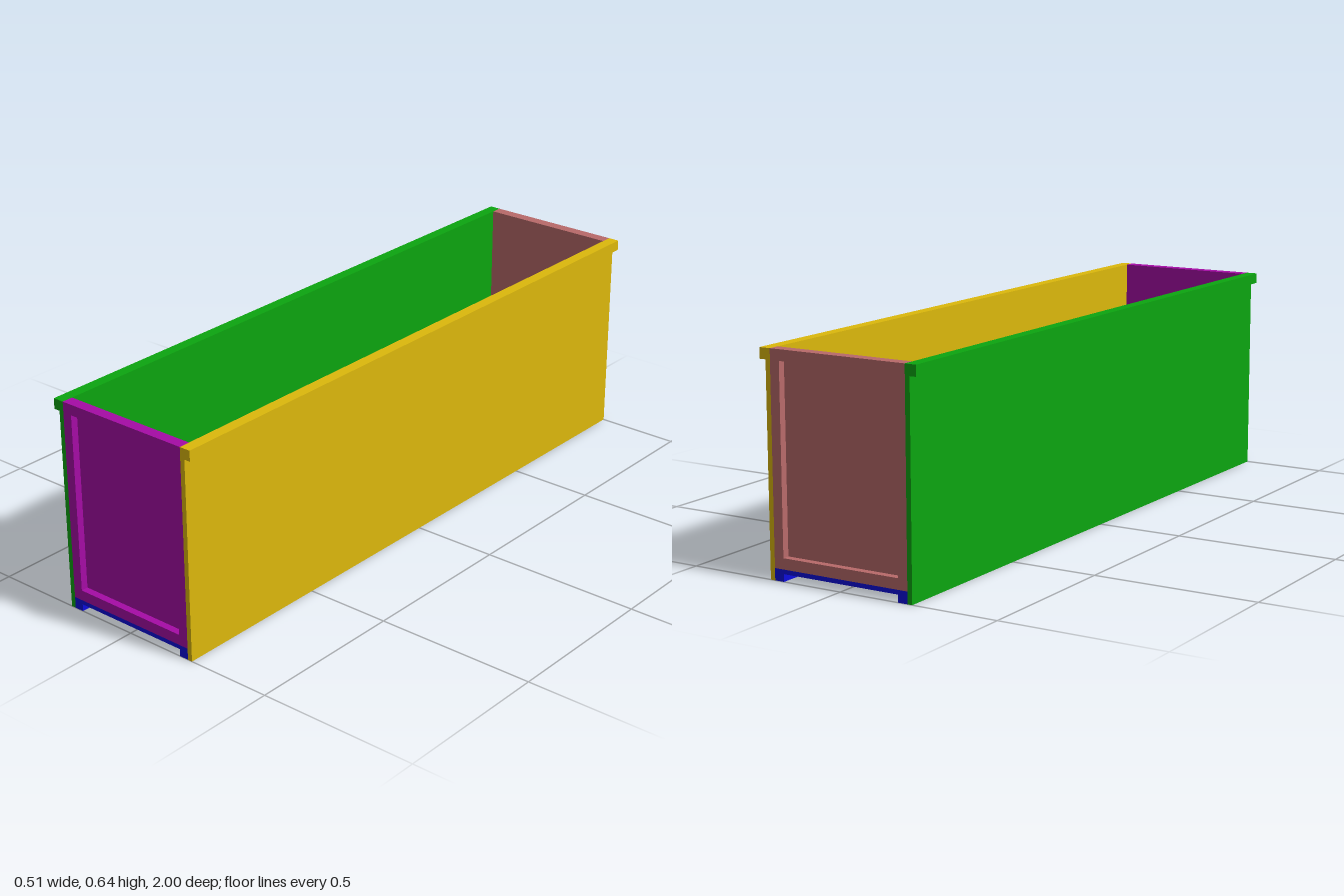
import * as THREE from 'three';

const W = 0.22;        // inner half width
const H = 0.645;       // overall height
const FLOOR = 0.035;   // top of the floor
const RIM = 0.03;      // frame width round the end panels
const RECESS = 0.022;  // depth of the end recess and of the floor channel

function outline(points) {
  return new THREE.Shape(points.map(([x, y]) => new THREE.Vector2(x, y)));
}

function rectangle(x, y0, y1) {
  return outline([[-x, y0], [x, y0], [x, y1], [-x, y1]]);
}

// Extrude a shape from z0 to z1
function slab(shape, z0, z1) {
  const g = new THREE.ExtrudeGeometry(shape, { depth: z1 - z0, bevelEnabled: false });
  return g.translate(0, 0, z0);
}

function part(name, geometry, material) {
  const mesh = new THREE.Mesh(geometry, material);
  mesh.name = name;
  return mesh;
}

function paint(color) {
  return new THREE.MeshStandardMaterial({ color });
}

export function createModel() {
  const model = new THREE.Group();
  model.name = 'trough';

  // Side walls with an outward lip along the top
  const wall = [[W, 0], [0.235, 0], [0.235, 0.613], [0.255, 0.613], [0.255, H], [W, H]];
  const mirrored = wall.map(([x, y]) => [-x, y]).reverse();
  model.add(part('leftWall', slab(outline(wall), -1, 1), paint(0xdcb80c)));
  model.add(part('rightWall', slab(outline(mirrored), -1, 1), paint(0x0ca510)));

  // Floor with a runner along each edge
  const inner = W - RIM;
  const floor = outline([
    [-W, 0], [-inner, 0], [-inner, RECESS], [inner, RECESS],
    [inner, 0], [W, 0], [W, FLOOR], [-W, FLOOR],
  ]);
  model.add(part('floor', slab(floor, -1, 1), paint(0x0c0cdc)));

  // End walls: a thin panel with a raised frame on the outside
  for (const [name, color, turn] of [['frontEnd', 0xa50ca5, 0], ['backEnd', 0xb86a6a, Math.PI]]) {
    const end = new THREE.Group();
    end.name = name;
    const material = paint(color);
    const frame = rectangle(W, FLOOR, H);
    frame.holes.push(rectangle(inner, 0.067, 0.613));
    end.add(part(name + 'Panel', slab(rectangle(W, FLOOR, H), 0.965, 1 - RECESS), material));
    end.add(part(name + 'Frame', slab(frame, 1 - RECESS, 1), material));
    end.rotation.y = turn;
    model.add(end);
  }

  return model;
}
